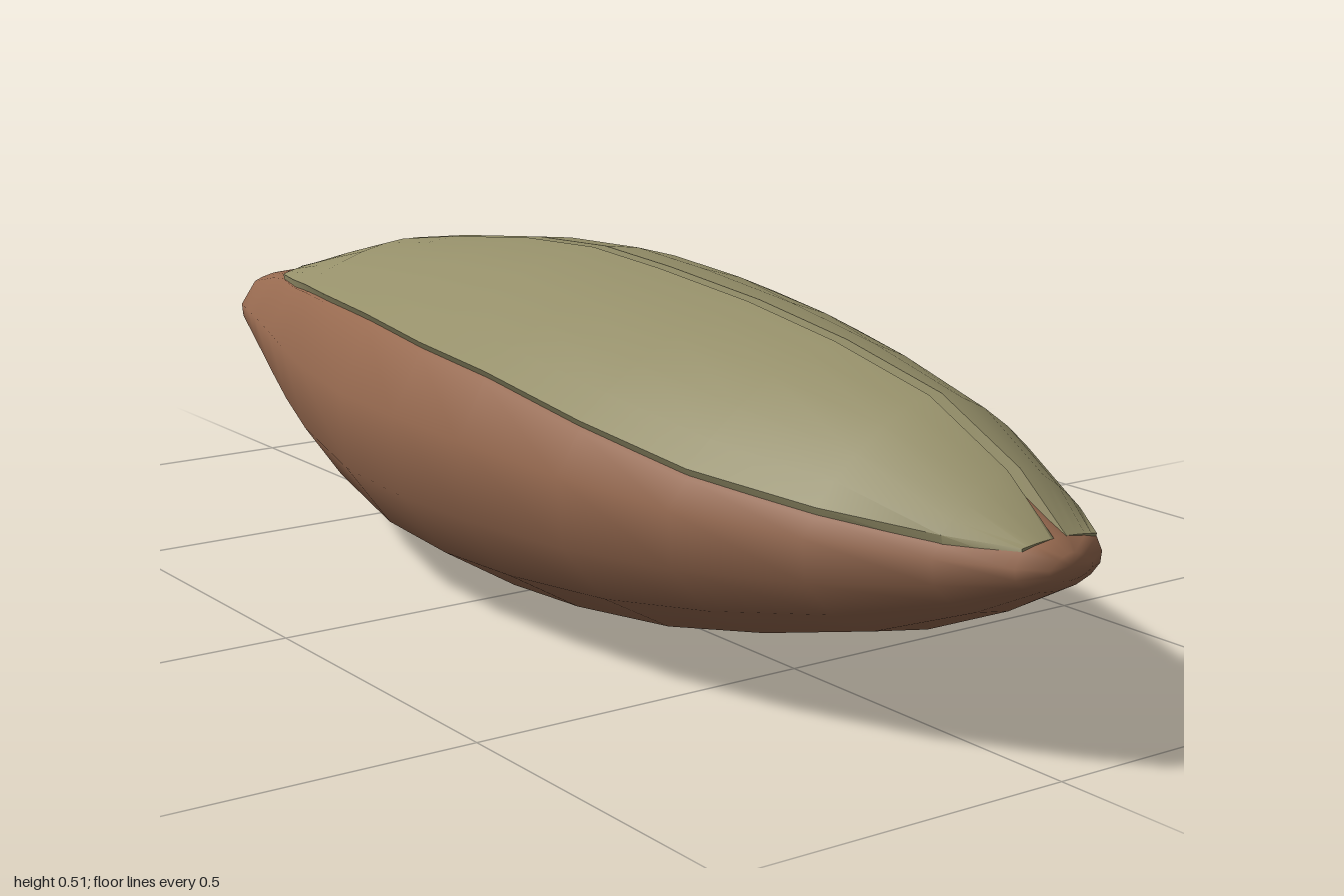
import * as THREE from 'three';
import { toCreasedNormals } from 'three/addons/utils/BufferGeometryUtils.js';

// Stations from front to back:
// z, half width, belly y, widest y, wing edge x, wing edge y, top y
const STATIONS = [
  [1.0, 0.035, 0.248, 0.265, 0.02, 0.275, 0.282],
  [0.98, 0.07, 0.23, 0.268, 0.06, 0.287, 0.296],
  [0.9, 0.125, 0.185, 0.27, 0.112, 0.293, 0.36],
  [0.76, 0.205, 0.125, 0.275, 0.185, 0.306, 0.425],
  [0.58, 0.272, 0.075, 0.28, 0.243, 0.324, 0.462],
  [0.4, 0.315, 0.035, 0.29, 0.28, 0.355, 0.486],
  [0.2, 0.34, 0.01, 0.3, 0.298, 0.387, 0.502],
  [0.04, 0.347, 0.001, 0.305, 0.302, 0.4, 0.51],
  [-0.13, 0.337, 0.009, 0.305, 0.29, 0.412, 0.501],
  [-0.34, 0.29, 0.041, 0.305, 0.245, 0.405, 0.476],
  [-0.5, 0.236, 0.075, 0.3, 0.19, 0.39, 0.451],
  [-0.65, 0.182, 0.115, 0.295, 0.132, 0.37, 0.412],
  [-0.8, 0.13, 0.172, 0.29, 0.072, 0.352, 0.37],
  [-0.87, 0.105, 0.198, 0.285, 0.055, 0.338, 0.35],
  [-0.96, 0.072, 0.225, 0.28, 0.045, 0.318, 0.33],
  [-1.0, 0.035, 0.25, 0.275, 0.022, 0.288, 0.295],
];

// Skin closed rings (counter-clockwise seen from the front) and cap both ends
function loft(rings, crease) {
  const n = rings[0].length, pos = rings.flat(2), index = [];
  for (let i = 0; i < rings.length - 1; i++) {
    for (let j = 0; j < n; j++) {
      const a = i * n + j, b = i * n + (j + 1) % n;
      index.push(a, a + n, b, b, a + n, b + n);
    }
  }
  [0, rings.length - 1].forEach((r, end) => {
    const c = pos.length / 3;
    for (let k = 0; k < 3; k++) pos.push(rings[r].reduce((s, p) => s + p[k], 0) / n);
    for (let j = 0; j < n; j++) {
      const a = r * n + j, b = r * n + (j + 1) % n;
      index.push(c, ...(end ? [b, a] : [a, b]));
    }
  });
  const geo = new THREE.BufferGeometry();
  geo.setAttribute('position', new THREE.Float32BufferAttribute(pos, 3));
  geo.setIndex(index);
  geo.computeVertexNormals();
  return crease ? toCreasedNormals(geo, crease) : geo;
}

// Height of the arched back at fraction t between midline and wing edge
const arch = (t, edge, top) => edge + (top - edge) * (1 - Math.pow(t, 1.75));

const BELLY = [[0, 0], [0.43, 0.09], [0.76, 0.31], [0.97, 0.62], [1, 1]];

// Full body section: belly and flanks, then the back sunk below the wings
function bodyRing([z, w, yb, ym, xe, ye, yt]) {
  const sink = z > 0.95 || z < -0.83 ? 0 : Math.min(0.022, (yt - ye) * 0.6);
  const half = BELLY.map(([u, v]) => [w * u, yb + (ym - yb) * v, z]);
  half.push([xe, ye - sink * 0.4, z]);
  for (const t of [0.67, 0.23]) half.push([xe * t, arch(t, ye, yt) - sink, z]);
  half.push([0, yt - sink, z]);
  const mirrored = half.slice(1, -1).reverse().map(([x, y, zz]) => [-x, y, zz]);
  return [...half, ...mirrored];
}

// Thin wing section from outer edge to midline and back underneath
function wingRing([z, , , , xe, ye, yt], side) {
  const inner = Math.min(0.01, xe * 0.4), edge = ye + 0.004;
  const outer = [1, 0.85, 0.67, 0.45, 0.23].map(t => [xe * t, arch(t, edge, yt), z]);
  outer.push([inner, yt, z], [inner * 0.5, yt - 0.025, z]);
  for (const t of [0.23, 0.67]) outer.push([xe * t, arch(t, ye, yt) - 0.027, z]);
  outer.push([xe * 0.96, ye - 0.015, z]);
  return side > 0 ? outer : outer.reverse().map(([x, y, zz]) => [-x, y, zz]);
}

export function createModel() {
  const group = new THREE.Group();
  const add = (name, geo, color) => {
    const mesh = new THREE.Mesh(geo, new THREE.MeshStandardMaterial({ color }));
    mesh.name = name;
    group.add(mesh);
  };

  // Spindle-shaped body
  add('body', loft(STATIONS.map(bodyRing)), 0x96694f);

  // Pair of wing cases meeting at a narrow groove, pointed at the back
  const wingStations = STATIONS.slice(1, 13);
  wingStations.push([-0.86, 0, 0, 0, 0.016, 0.346, 0.355]);
  for (const side of [1, -1]) {
    const rings = wingStations.map(s => wingRing(s, side));
    add(side > 0 ? 'leftWingCase' : 'rightWingCase', loft(rings, 0.9), 0x96906a);
  }
  return group;
}
